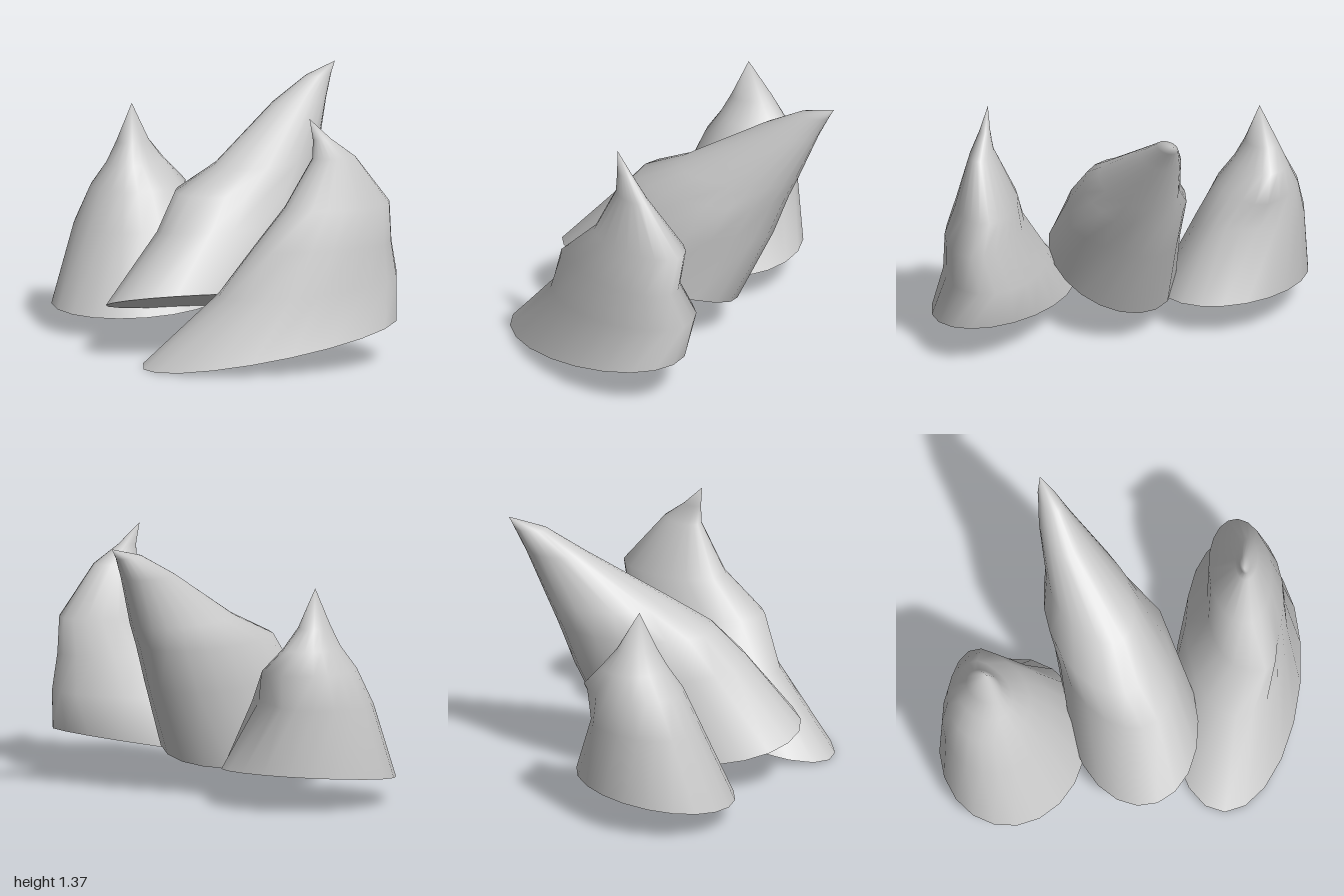
import * as THREE from 'three';

const SIDES = 20;

// Each spike: rings are [y, xMin, xMax, zMin, zMax] from base to top.
// tilt = slope of the base plane along x and z, skew = diagonal stretch of the rings,
// pushes = local bulges and dents as { at, by, radius }.
const SPIKES = [
  {
    name: 'leftRearSpike', apex: [-0.62, 1.15, -0.5], tilt: [0.02, -0.115], skew: -0.12,
    rings: [
      [0.146, -1, -0.1, -0.77, 0.01],
      [0.53, -0.91, -0.26, -0.75, -0.18],
      [0.72, -0.83, -0.37, -0.73, -0.27],
      [0.84, -0.75, -0.48, -0.68, -0.35],
      [0.95, -0.7, -0.54, -0.62, -0.41],
    ],
    pushes: [
      { at: [-0.35, 0.5, -0.65], by: [-0.07, 0, 0.08], radius: 0.24 },
      { at: [-0.45, 0.76, -0.68], by: [0.04, 0, -0.04], radius: 0.2 },
    ],
  },
  {
    name: 'middleSpike', apex: [0.39, 1.365, -0.83], tilt: [0.15, 0.255], skew: -0.42,
    rings: [
      [0.235, -0.54, 0.32, -0.36, 0.52],
      [0.6, -0.32, 0.35, -0.54, 0.29],
      [0.8, -0.26, 0.37, -0.62, 0.14],
      [0.92, -0.09, 0.38, -0.66, -0.05],
      [1.19, 0.13, 0.38, -0.76, -0.47],
      [1.31, 0.27, 0.385, -0.81, -0.65],
    ],
    pushes: [{ at: [0.3, 0.57, -0.06], by: [0.06, 0, 0], radius: 0.22 }],
  },
  {
    name: 'rightFrontSpike', apex: [0.57, 1.29, 0.33], tilt: [0.112, -0.148], skew: -0.52,
    rings: [
      [0.105, -0.25, 1, -0.02, 0.83],
      [0.4, 0.12, 0.98, -0.06, 0.65],
      [0.62, 0.3, 0.965, 0.03, 0.56],
      [0.82, 0.44, 0.94, 0, 0.45],
      [1.08, 0.58, 0.79, 0.19, 0.345],
      [1.18, 0.585, 0.67, 0.26, 0.335],
    ],
    pushes: [{ at: [0.38, 0.58, 0.57], by: [0, 0, 0.07], radius: 0.2 }],
  },
];

// Points of one ring, leaning with the base plane near the bottom
function ringPoints(spike, index) {
  const [y, x0, x1, z0, z1] = spike.rings[index];
  const lean = [1, 0.4][index] ?? 0;
  const shift = Math.asin(spike.skew);
  const points = [];
  for (let i = 0; i < SIDES; i++) {
    const t = (i / SIDES) * Math.PI * 2;
    const dx = ((x1 - x0) / 2) * Math.cos(t);
    const dz = ((z1 - z0) / 2) * Math.sin(t + shift);
    const dy = lean * (spike.tilt[0] * dx + spike.tilt[1] * dz);
    const point = new THREE.Vector3((x0 + x1) / 2 + dx, y + dy, (z0 + z1) / 2 + dz);
    for (const { at, by, radius } of index > 0 ? spike.pushes : []) {
      const d = point.distanceTo(new THREE.Vector3(...at)) / radius;
      if (d < 1) point.addScaledVector(new THREE.Vector3(...by), (1 - d * d) ** 2);
    }
    points.push(...point.toArray());
  }
  return points;
}

function buildMesh(name, positions, indices, material) {
  const geometry = new THREE.BufferGeometry();
  geometry.setAttribute('position', new THREE.Float32BufferAttribute(positions, 3));
  geometry.setIndex(indices);
  geometry.computeVertexNormals();
  const mesh = new THREE.Mesh(geometry, material);
  mesh.name = name;
  return mesh;
}

function createSpike(spike, material) {
  const group = new THREE.Group();
  group.name = spike.name;

  // Smooth sides, closing in a sharp point
  const positions = spike.rings.flatMap((_, k) => ringPoints(spike, k));
  positions.push(...spike.apex);
  const tip = spike.rings.length * SIDES;
  const indices = [];
  spike.rings.forEach((_, k) => {
    for (let i = 0; i < SIDES; i++) {
      const a = k * SIDES + i;
      const b = k * SIDES + ((i + 1) % SIDES);
      if (k === spike.rings.length - 1) indices.push(a, tip, b);
      else indices.push(a, a + SIDES, b, b, a + SIDES, b + SIDES);
    }
  });
  group.add(buildMesh('spikeBody', positions, indices, material));

  // Flat slanted underside
  const base = ringPoints(spike, 0);
  const [y, x0, x1, z0, z1] = spike.rings[0];
  base.push((x0 + x1) / 2, y, (z0 + z1) / 2);
  const cap = [];
  for (let i = 0; i < SIDES; i++) cap.push(SIDES, i, (i + 1) % SIDES);
  group.add(buildMesh('spikeUnderside', base, cap, material));
  return group;
}

export function createModel() {
  const model = new THREE.Group();
  model.name = 'rockSpikes';
  const material = new THREE.MeshStandardMaterial({ color: 0xcccccc });
  for (const spike of SPIKES) model.add(createSpike(spike, material));
  return model;
}
